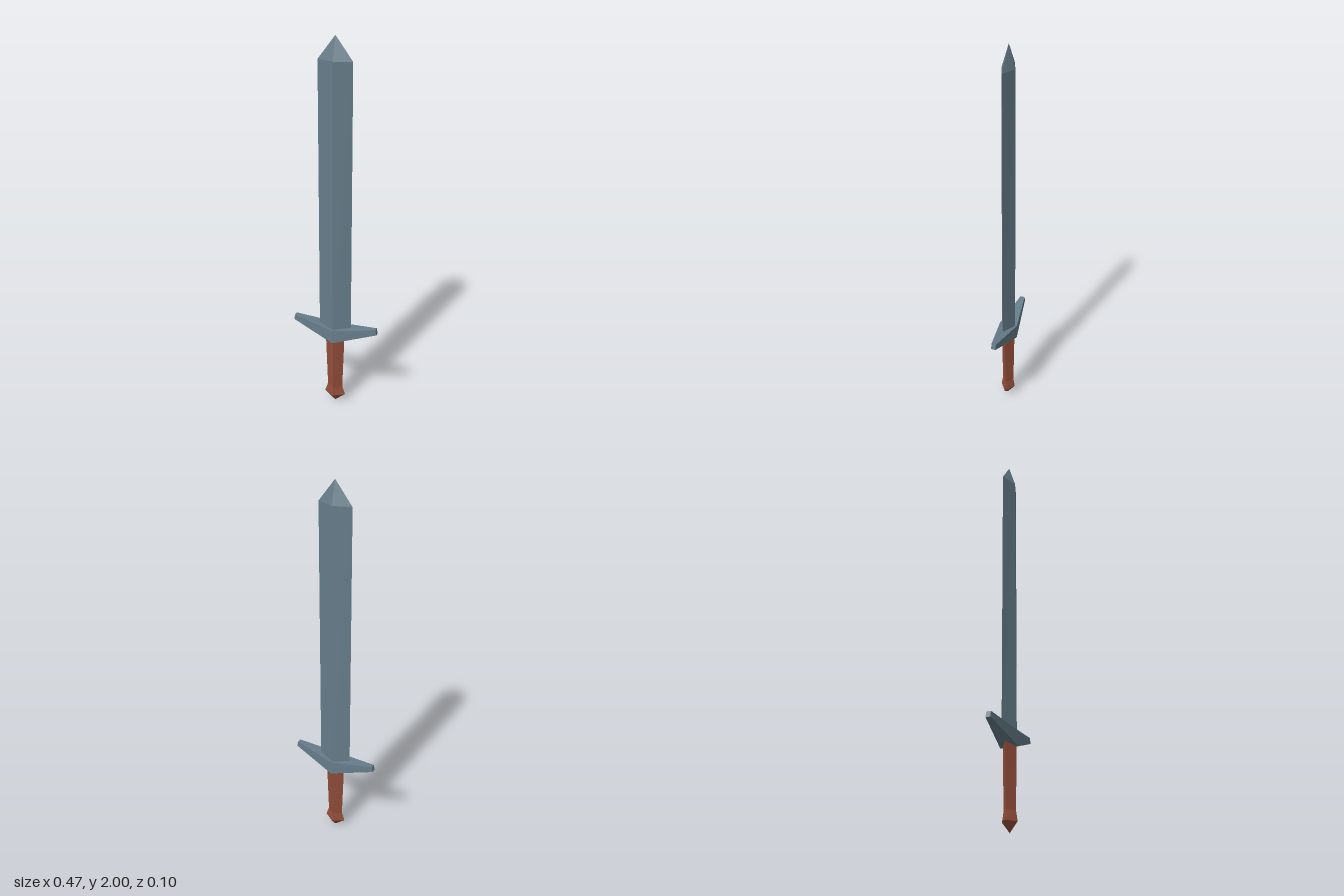
import * as THREE from 'three';

// Joins four-cornered rings (bottom to top, each counter-clockwise from above) into a closed flat-shaded solid
function loft(rings) {
  const pos = [];
  const quad = (a, b, c, d) => [a, b, c, a, c, d].forEach((p) => pos.push(...p));
  for (let r = 0; r < rings.length - 1; r++) {
    const lo = rings[r], hi = rings[r + 1];
    for (let i = 0; i < 4; i++) {
      const j = (i + 1) % 4;
      quad(lo[i], lo[j], hi[j], hi[i]);
    }
  }
  const first = rings[0], last = rings[rings.length - 1];
  quad(first[3], first[2], first[1], first[0]);
  quad(last[0], last[1], last[2], last[3]);
  const geometry = new THREE.BufferGeometry();
  geometry.setAttribute('position', new THREE.Float32BufferAttribute(pos, 3));
  geometry.computeVertexNormals();
  return geometry;
}

// Diamond ring: height, half width, half depth, z centre
const diamond = ([y, w, d, z = 0]) => [[w, y, z], [0, y, z - d], [-w, y, z], [0, y, z + d]];

// Upright end of a guard section: lower and upper x, bottom, top, half depth, z centre
const slab = ([xLow, xHigh, bottom, top, d, z]) => [
  [xLow, bottom, z + d], [xLow, bottom, z - d], [xHigh, top, z - d], [xHigh, top, z + d],
];

export function createModel() {
  const steel = new THREE.MeshStandardMaterial({ color: 0x667d8a });
  steel.name = 'blue grey steel';
  const leather = new THREE.MeshStandardMaterial({ color: 0x944e3b });
  leather.name = 'brown leather';

  const model = new THREE.Group();
  model.name = 'sword';
  const add = (name, geometry, material) => {
    const mesh = new THREE.Mesh(geometry, material);
    mesh.name = name;
    model.add(mesh);
  };

  // Blade with a central ridge and a short point
  add('blade', loft([
    [0.43, 0.088, 0.038, -0.002],
    [1.887, 0.087, 0.033, -0.001],
    [2, 0, 0, -0.003],
  ].map(diamond)), steel);

  // Crossguard, thick in the middle with upswept arms
  add('crossguard', loft([
    [-0.233, -0.227, 0.476, 0.505, 0.012, -0.003],
    [0, 0, 0.397, 0.472, 0.048, -0.001],
    [0.233, 0.227, 0.476, 0.505, 0.012, -0.003],
  ].map(slab)), steel);

  // Tapered grip flaring into a pointed pommel
  add('grip', loft([
    [0.1, 0.042, 0.031],
    [0.42, 0.053, 0.036],
  ].map(diamond)), leather);
  add('pommel', loft([
    [0, 0, 0],
    [0.05, 0.058, 0.039],
    [0.1, 0.042, 0.031],
  ].map(diamond)), leather);

  return model;
}
